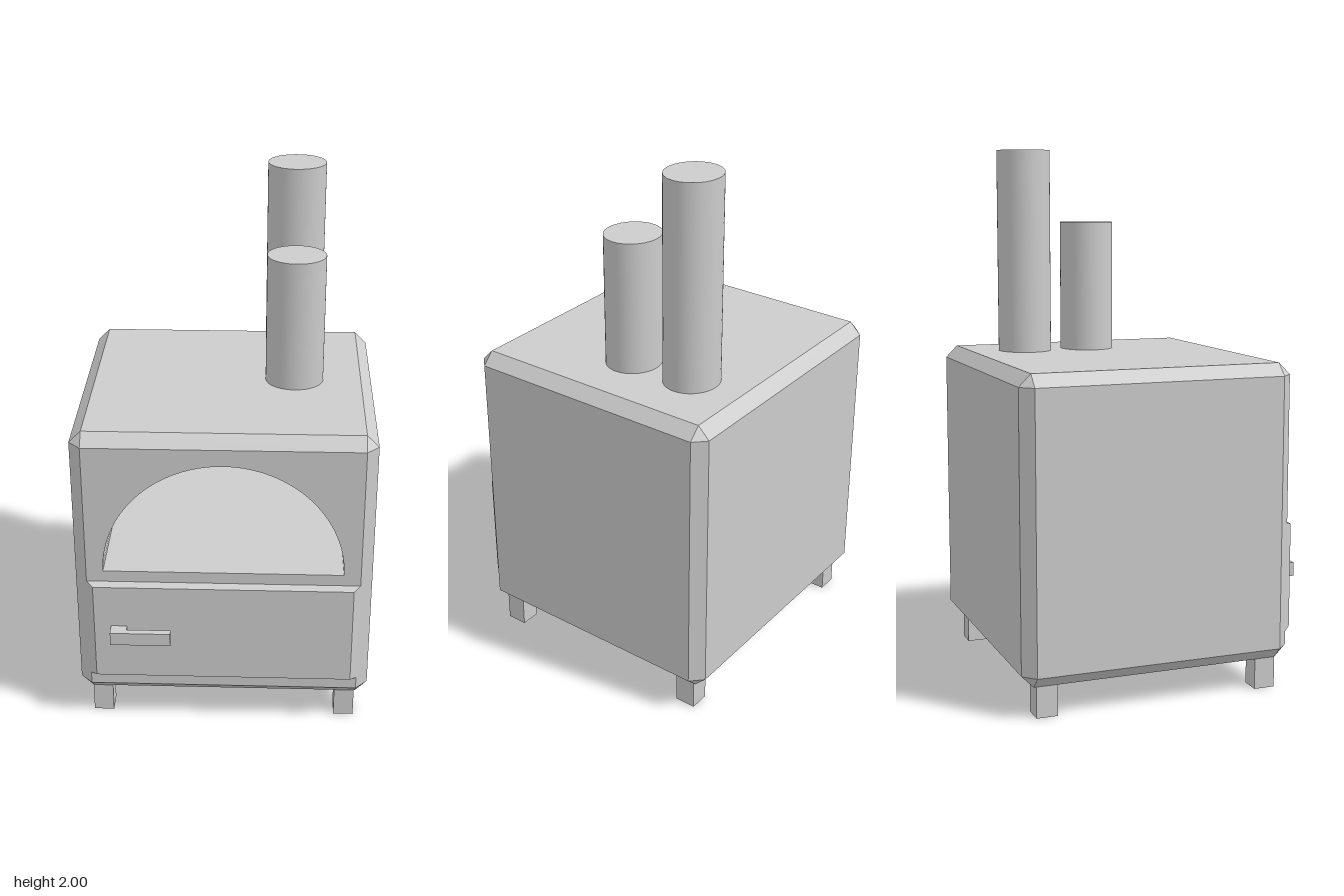
import * as THREE from 'three';
import { ConvexGeometry } from 'three/addons/geometries/ConvexGeometry.js';
import { toCreasedNormals } from 'three/addons/utils/BufferGeometryUtils.js';

// Removes the triangles of a non-indexed geometry that face along dir
function dropFaces(geometry, dir) {
  const p = geometry.attributes.position;
  const tri = new THREE.Triangle(), n = new THREE.Vector3(), kept = [];
  for (let i = 0; i < p.count; i += 3) {
    tri.setFromAttributeAndIndices(p, i, i + 1, i + 2);
    if (tri.getNormal(n).dot(dir) < 0.99) {
      kept.push(...tri.a.toArray(), ...tri.b.toArray(), ...tri.c.toArray());
    }
  }
  const out = new THREE.BufferGeometry();
  out.setAttribute('position', new THREE.Float32BufferAttribute(kept, 3));
  out.computeVertexNormals();
  return out;
}

// Box with every edge chamfered by c
function chamferedBox(min, max, c) {
  const pts = [];
  for (const i of [0, 1]) for (const j of [0, 1]) for (const k of [0, 1]) {
    const corner = [i ? max[0] : min[0], j ? max[1] : min[1], k ? max[2] : min[2]];
    const inset = [i ? -c : c, j ? -c : c, k ? -c : c];
    for (let face = 0; face < 3; face++) {
      pts.push(new THREE.Vector3(...corner.map((v, a) => (a === face ? v : v + inset[a]))));
    }
  }
  return new ConvexGeometry(pts);
}

export function createModel() {
  const model = new THREE.Group();
  model.name = 'oven';
  const metal = new THREE.MeshStandardMaterial({ color: 0xcccccc });
  metal.name = 'grey metal';

  const add = (name, geometry, x = 0, y = 0, z = 0) => {
    const mesh = new THREE.Mesh(geometry, metal);
    mesh.name = name;
    mesh.position.set(x, y, z);
    model.add(mesh);
    return mesh;
  };

  const frontZ = 0.475;
  const forward = new THREE.Vector3(0, 0, 1);

  // Chamfered body, open at the front
  add('body', dropFaces(
    chamferedBox([-0.553, 0.115, -0.557], [0.553, 1.225, frontZ], 0.045), forward));

  // Front wall with the arched opening
  const arch = new THREE.Shape();
  arch.absarc(0, 0.67, 0.445, 0, Math.PI, false);
  arch.closePath();
  const wall = new THREE.Shape([
    new THREE.Vector2(-0.508, 0.16), new THREE.Vector2(0.508, 0.16),
    new THREE.Vector2(0.508, 1.18), new THREE.Vector2(-0.508, 1.18)]);
  wall.holes.push(arch);
  add('frontWall', new THREE.ShapeGeometry(wall, 48), 0, 0, frontZ);

  // Baking chamber: an arch extruded backwards, turned inside out by mirroring
  const chamber = new THREE.ExtrudeGeometry(arch, {
    depth: 0.92, bevelEnabled: false, curveSegments: 48 });
  chamber.scale(1, 1, -1);
  add('chamber', toCreasedNormals(
    dropFaces(chamber, new THREE.Vector3(0, 0, -1)), 0.5), 0, 0, frontZ);

  // Firebox door with sloped edges
  const door = [];
  for (const s of [-1, 1]) {
    for (const y of [0.21, 0.625]) door.push(new THREE.Vector3(s * 0.508, y, frontZ));
    for (const y of [0.22, 0.615]) door.push(new THREE.Vector3(s * 0.483, y, 0.503));
  }
  add('fireboxDoor', new ConvexGeometry(door));

  // L-shaped door handle, drawn in plan and extruded downwards
  const plan = [[-0.42, 0.5], [-0.36, 0.5], [-0.36, 0.528],
    [-0.195, 0.528], [-0.195, 0.553], [-0.42, 0.553]];
  const handle = new THREE.ExtrudeGeometry(
    new THREE.Shape(plan.map(([x, z]) => new THREE.Vector2(x, z))),
    { depth: 0.052, bevelEnabled: false });
  handle.rotateX(Math.PI / 2);
  add('doorHandle', handle, 0, 0.446, 0);

  // Legs
  for (const x of [-0.471, 0.467]) for (const z of [-0.463, 0.39]) {
    add('leg', new THREE.BoxGeometry(0.076, 0.125, 0.08), x, 0.0625, z);
  }

  // Two slightly oval flue pipes
  for (const [name, x, z, top] of [
    ['tallPipe', 0.252, -0.301, 2], ['shortPipe', 0.254, -0.043, 1.725]]) {
    const height = top - 1.2;
    const pipe = add(name, new THREE.CylinderGeometry(0.11, 0.11, height, 48), x, 1.2 + height / 2, z);
    pipe.scale.z = 0.93;
  }

  return model;
}
